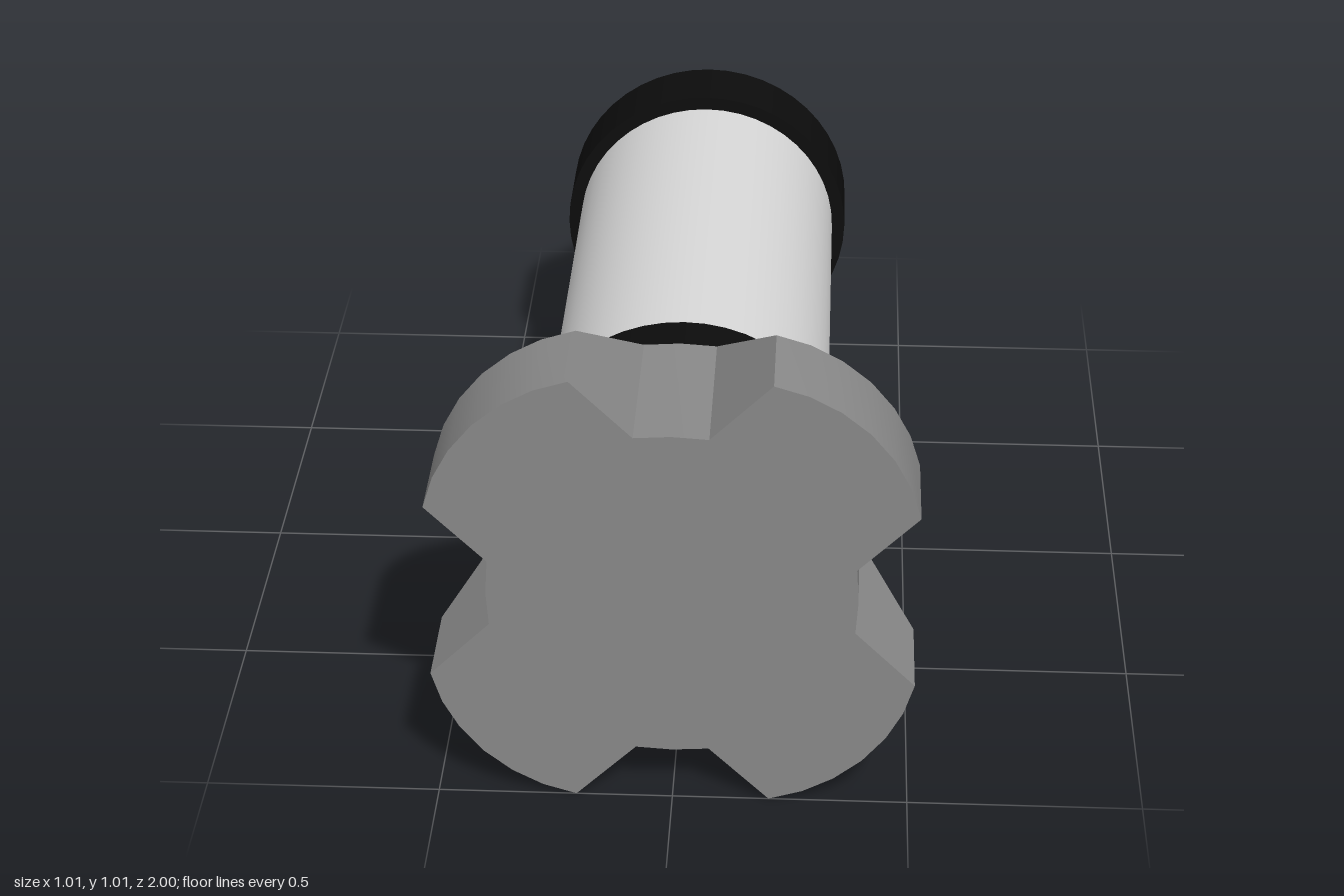
import * as THREE from 'three';
import { toCreasedNormals } from 'three/addons/utils/BufferGeometryUtils.js';

const AXIS_Y = 0.507;

// Lobed valve head: a four-lobed outline that tapers back to a round core.
function headGeometry() {
  const lobe = [[0.507, 0.205], [0.485, 0.276], [0.45, 0.341], [0.401, 0.401], [0.341, 0.45], [0.276, 0.485], [0.205, 0.507]];
  const outline = [], round = [];
  const core = Math.hypot(0.38, 0.077), start = Math.atan2(0.077, 0.38);
  for (let q = 0; q < 4; q++) {
    const turn = q * Math.PI / 2;
    const polar = (r, a) => [r * Math.cos(a + turn), r * Math.sin(a + turn)];
    const add = (r, a, backR, backA) => {
      outline.push(polar(r, a));
      round.push(polar(backR, backA));
    };
    add(0.385, 0, 0.385, 0);
    add(core, start, core, start);
    lobe.forEach(([x, y], i) => {
      const backA = start + (Math.PI / 2 - 2 * start) * i / (lobe.length - 1);
      add(Math.hypot(x, y), Math.atan2(y, x), core, backA);
    });
    add(core, Math.PI / 2 - start, core, Math.PI / 2 - start);
  }
  const rings = [[outline, 1], [outline, 0.79], [round, 0.615]]
    .map(([points, z]) => points.map(([x, y]) => new THREE.Vector3(x, y, z)));
  const positions = [];
  const tri = (a, b, c) => {
    if (a.distanceTo(b) < 1e-6 || b.distanceTo(c) < 1e-6 || c.distanceTo(a) < 1e-6) return;
    for (const p of [a, b, c]) positions.push(p.x, p.y, p.z);
  };
  const front = new THREE.Vector3(0, 0, 1), back = new THREE.Vector3(0, 0, 0.615);
  const n = outline.length;
  for (let i = 0; i < n; i++) {
    const j = (i + 1) % n;
    tri(front, rings[0][i], rings[0][j]);
    tri(back, rings[2][j], rings[2][i]);
    for (let k = 0; k < 2; k++) {
      const f = rings[k], b = rings[k + 1];
      tri(f[i], b[i], b[j]);
      tri(f[i], b[j], f[j]);
    }
  }
  const geometry = new THREE.BufferGeometry();
  geometry.setAttribute('position', new THREE.Float32BufferAttribute(positions, 3));
  return toCreasedNormals(geometry, 0.5);
}

export function createModel() {
  const model = new THREE.Group();
  model.name = 'lobedHandle';
  const material = (name, color) => {
    const m = new THREE.MeshStandardMaterial({ color });
    m.name = name;
    return m;
  };
  const grey = material('midGrey', 0x898989);
  const light = material('lightGrey', 0xd8d8d8);
  const black = material('black', 0x0c0c0c);

  const addPart = (name, geometry, mat) => {
    const mesh = new THREE.Mesh(geometry, mat);
    mesh.name = name;
    mesh.position.y = AXIS_Y;
    model.add(mesh);
  };
  // Round section along z, from the front end to the back end
  const addRound = (name, zFront, zBack, rFront, rBack, mat) => {
    const geometry = new THREE.CylinderGeometry(rFront, rBack, zFront - zBack, 48);
    geometry.rotateX(Math.PI / 2);
    geometry.translate(0, 0, (zFront + zBack) / 2);
    addPart(name, geometry, mat);
  };

  addPart('lobedHead', headGeometry(), grey);
  addRound('frontCollar', 0.615, 0.45, 0.346, 0.346, black);
  addRound('barrel', 0.45, -0.7, 0.315, 0.315, light);
  addRound('rearCollar', -0.7, -0.87, 0.346, 0.346, black);
  addRound('endPlug', -0.87, -1, 0.3, 0.266, black);
  return model;
}
